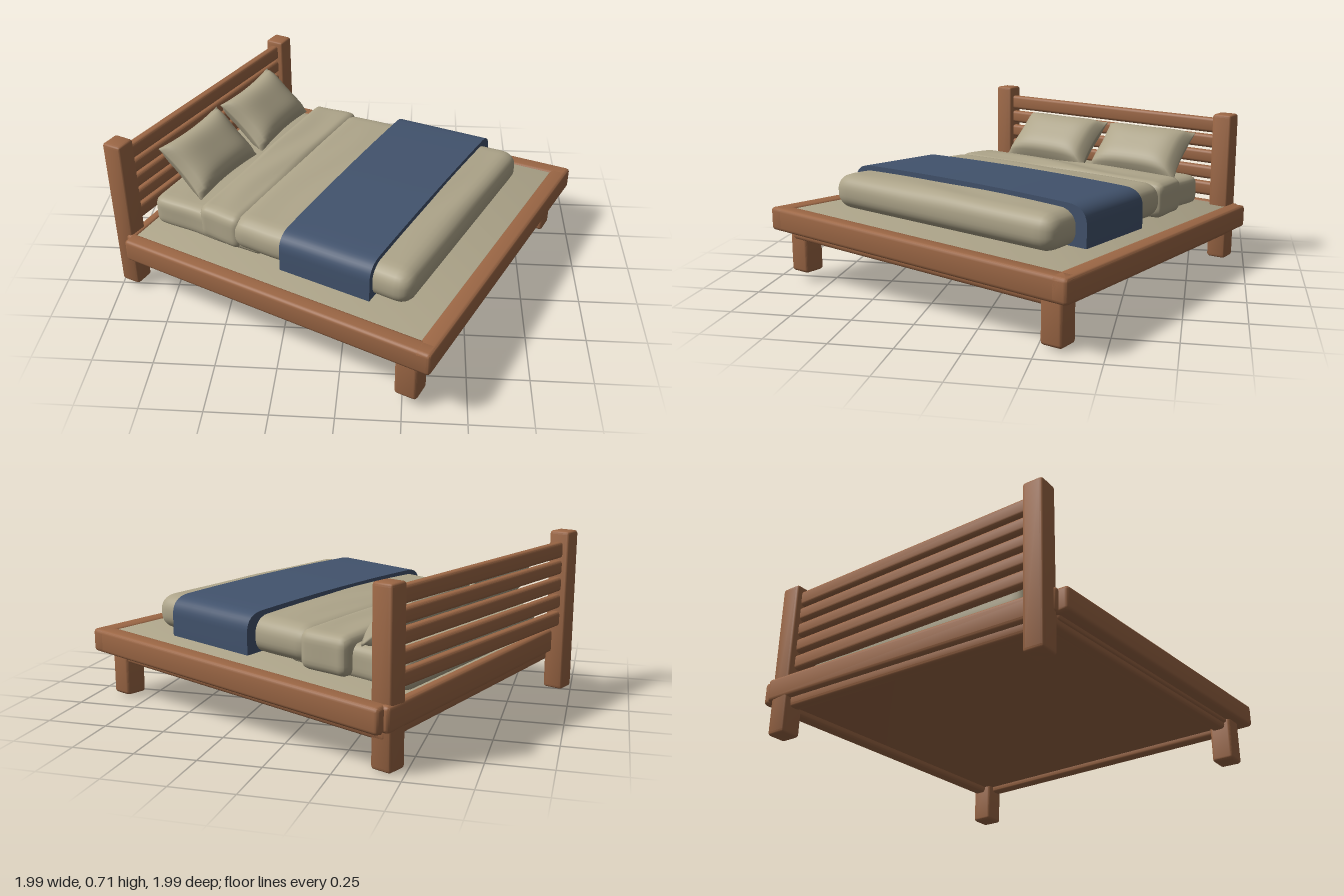
import * as THREE from 'three';
import { mergeVertices, toCreasedNormals } from 'three/addons/utils/BufferGeometryUtils.js';
import { RoundedBoxGeometry } from 'three/addons/geometries/RoundedBoxGeometry.js';

const wood = new THREE.MeshStandardMaterial({ color: 0x9c6745 });
wood.name = 'wood';
const linen = new THREE.MeshStandardMaterial({ color: 0xaea58a });
linen.name = 'linen';
const navy = new THREE.MeshStandardMaterial({ color: 0x42536d });
navy.name = 'navy cloth';

// Bed plan: s runs head to foot, t runs back to front, both 0..SIZE.
const SIZE = 1.5;
const CORNERS = [[-0.415, -1.0], [1.0, -0.37], [0.345, 1.0], [-0.945, 0.325]];
const TURN = -0.432;

// Places plan coordinates (s, height above the frame top, t) in the turned, slightly sloping bed.
function place(geometry) {
  const p = geometry.attributes.position;
  const [a, b, c, d] = CORNERS;
  for (let i = 0; i < p.count; i++) {
    const u = p.getX(i) / SIZE, v = p.getZ(i) / SIZE;
    const mix = (k) => (1 - v) * ((1 - u) * a[k] + u * b[k]) + v * ((1 - u) * d[k] + u * c[k]);
    p.setXYZ(i, mix(0), 0.25 + 0.045 * u + 0.035 * v + p.getY(i), mix(1));
  }
  return geometry;
}

function smooth(geometry) {
  geometry.deleteAttribute('uv');
  geometry.deleteAttribute('normal');
  const merged = mergeVertices(geometry, 1e-5);
  merged.computeVertexNormals();
  return merged;
}

// Timber with eased edges, given by its plan limits
function timber(s0, s1, h0, h1, t0, t1, r = 0.016) {
  const g = new RoundedBoxGeometry(s1 - s0, h1 - h0, t1 - t0, 2, r);
  g.translate((s0 + s1) / 2, (h0 + h1) / 2, (t0 + t1) / 2);
  return toCreasedNormals(place(g), 0.6);
}

// Padded block with round edges, a domed top and soft wrinkles
function padded(s0, s1, h0, h1, t0, t1, r, dome, wrinkle) {
  const half = new THREE.Vector3(s1 - s0, h1 - h0, t1 - t0).multiplyScalar(0.5);
  const g = new THREE.BoxGeometry(half.x * 2, half.y * 2, half.z * 2, 36, 10, 40);
  const p = g.attributes.position;
  const v = new THREE.Vector3(), core = new THREE.Vector3();
  const limit = half.clone().subScalar(r);
  for (let i = 0; i < p.count; i++) {
    v.fromBufferAttribute(p, i);
    core.copy(v).clamp(limit.clone().negate(), limit);
    v.sub(core).setLength(r).add(core);
    const x = v.x / half.x, z = v.z / half.z;
    if (v.y > 0) {
      v.y += dome * (1 - x * x) * (1 - z * z);
      v.y += wrinkle * Math.sin(v.x * 37 + 2 * Math.sin(v.z * 5)) * (1 - z * z);
    }
    v.z += wrinkle * Math.sin(v.x * 21) * z;
    p.setXYZ(i, v.x, v.y, v.z);
  }
  g.translate((s0 + s1) / 2, (h0 + h1) / 2, (t0 + t1) / 2);
  return smooth(place(g));
}

// Pillow: thick in the middle, pinched to a seam, leaning on the headboard
function pillowGeometry(s, h, t, lean, yaw) {
  const g = new THREE.BoxGeometry(2, 2, 2, 18, 2, 22);
  const p = g.attributes.position;
  for (let i = 0; i < p.count; i++) {
    const x = p.getX(i), z = p.getZ(i);
    const thick = 0.07 * Math.pow((1 - x ** 4) * (1 - z ** 4), 0.55) + 0.004;
    p.setXYZ(i,
      0.145 * x * (1 - 0.09 * (1 - z * z)),
      p.getY(i) * thick,
      0.23 * z * (1 - 0.07 * (1 - x * x)));
  }
  g.rotateZ(-lean).rotateY(yaw).translate(s, h, t);
  return smooth(place(g));
}

// Throw: rounded arch section across the bed, hanging down both sides
function throwGeometry(s0, s1, t0, t1, h0, h1) {
  const w = (t1 - t0) / 2, r = 0.085;
  const shape = new THREE.Shape();
  shape.moveTo(-w, h0);
  shape.lineTo(w, h0);
  shape.lineTo(w, h1 - r);
  shape.quadraticCurveTo(w, h1 - 0.01, w - r, h1 - 0.006);
  shape.quadraticCurveTo(0, h1 + 0.01, -w + r, h1 - 0.006);
  shape.quadraticCurveTo(-w, h1 - 0.01, -w, h1 - r);
  const g = new THREE.ExtrudeGeometry(shape, { depth: s1 - s0, bevelEnabled: false, curveSegments: 10, steps: 4 });
  g.rotateY(Math.PI / 2).translate(s0, 0, (t0 + t1) / 2);
  return toCreasedNormals(place(g), 0.7);
}

export function createModel() {
  const bed = new THREE.Group();
  bed.name = 'bed';
  const add = (name, geometry, material) => {
    const mesh = new THREE.Mesh(geometry, material);
    mesh.name = name;
    bed.add(mesh);
    return mesh;
  };

  // Outer frame
  add('backSideRail', timber(0, SIZE, -0.1, 0, 0, 0.075), wood);
  add('frontSideRail', timber(0, SIZE, -0.1, 0, SIZE - 0.075, SIZE), wood);
  add('footRail', timber(SIZE - 0.075, SIZE, -0.1, 0, 0, SIZE), wood);
  add('headRail', timber(-0.02, 0.025, -0.1, 0, 0.04, SIZE - 0.04), wood);

  // Inset lower frame, bottom board and sheet-covered top
  const far = SIZE - 0.06;
  add('backLowerRail', timber(0.02, far, -0.14, -0.08, 0.06, 0.12), wood);
  add('frontLowerRail', timber(0.02, far, -0.14, -0.08, far - 0.06, far), wood);
  add('footLowerRail', timber(far - 0.06, far, -0.14, -0.08, 0.06, far), wood);
  add('headLowerRail', timber(0.005, 0.06, -0.14, -0.08, 0.06, far), wood);
  add('bottomBoard', timber(0.02, SIZE - 0.05, -0.115, -0.03, 0.05, SIZE - 0.05, 0.01), wood);
  add('platformSheet', timber(0.02, SIZE - 0.07, -0.03, -0.006, 0.07, SIZE - 0.07, 0.004), linen);

  // Headboard posts and foot legs: x, z, bottom, top, width
  const uprights = [
    ['frontHeadPost', -0.942, 0.225, 0.02, 0.715, 0.09],
    ['backHeadPost', -0.428, -0.892, 0, 0.672, 0.09],
    ['frontFootLeg', 0.28, 0.87, 0.04, 0.26, 0.096],
    ['backFootLeg', 0.86, -0.32, 0.008, 0.23, 0.096],
  ];
  for (const [name, x, z, y0, y1, w] of uprights) {
    const g = new RoundedBoxGeometry(w, y1 - y0, w, 2, 0.014);
    const post = add(name, toCreasedNormals(g, 0.6), wood);
    post.position.set(x, (y0 + y1) / 2, z);
    post.rotation.y = TURN;
  }

  // Headboard rails: centre height, depth
  const rails = [[0.625, 0.068], [0.55, 0.06], [0.476, 0.06], [0.402, 0.06], [0.325, 0.064]];
  rails.forEach(([y, h], i) => {
    const g = new RoundedBoxGeometry(0.04, h, 1.2, 2, 0.014);
    const rail = add('headboardRail' + (i + 1), toCreasedNormals(g, 0.6), wood);
    rail.position.set(-0.685, y, -0.333);
    rail.rotation.set(-0.018, TURN, 0, 'YXZ');
  });

  // Bedding
  add('mattress', padded(0.025, 0.6, -0.02, 0.118, 0.235, 1.29, 0.04, 0.006, 0.003), linen);
  add('duvetFold', padded(0.275, 0.5, -0.01, 0.148, 0.185, 1.3, 0.04, 0.008, 0.005), linen);
  add('duvet', padded(0.45, 1.315, 0, 0.148, 0.19, 1.315, 0.065, 0.017, 0.002), linen);
  add('throw', throwGeometry(0.725, 1.15, 0.142, 1.338, 0.005, 0.177), navy);
  add('backPillow', pillowGeometry(0.145, 0.215, 0.485, 0.74, 0.02), linen);
  add('frontPillow', pillowGeometry(0.135, 0.215, 0.975, 0.74, -0.02), linen);

  return bed;
}
